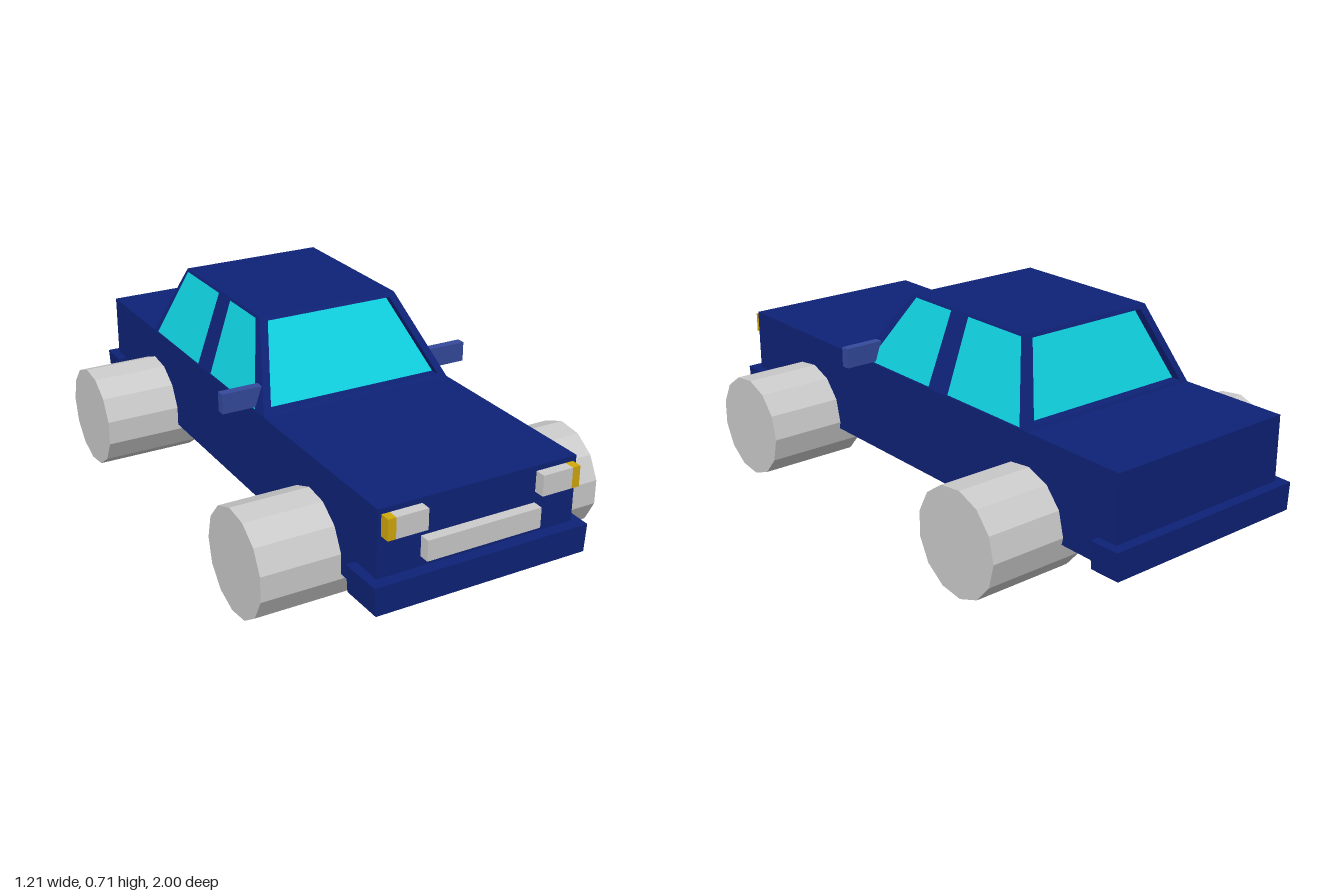
import * as THREE from 'three';

const paint = (color) => new THREE.MeshStandardMaterial({ color, flatShading: true });
const blue = paint(0x0e2277), cyan = paint(0x0fd0de), amber = paint(0xd2a80c);
const lightBlue = paint(0x344a9c), grey = paint(0xcccccc);

export function createModel() {
  const car = new THREE.Group();
  car.name = 'car';

  const add = (name, geometry, material) => {
    const mesh = new THREE.Mesh(geometry, material);
    mesh.name = name;
    car.add(mesh);
    return mesh;
  };

  // Box given by its limits on each axis
  const box = (name, [x0, x1], [y0, y1], [z0, z1], material) => {
    const g = new THREE.BoxGeometry(x1 - x0, y1 - y0, z1 - z0);
    g.translate((x0 + x1) / 2, (y0 + y1) / 2, (z0 + z1) / 2);
    return add(name, g, material);
  };

  // Flat quads, corners counter-clockwise; flip reverses them for mirrored parts
  const quads = (name, list, material, flip = false) => {
    const pos = [];
    for (const q of list) {
      const [a, b, c, d] = flip ? [...q].reverse() : q;
      pos.push(...a, ...b, ...c, ...a, ...c, ...d);
    }
    const g = new THREE.BufferGeometry();
    g.setAttribute('position', new THREE.Float32BufferAttribute(pos, 3));
    g.computeVertexNormals();
    return add(name, g, material);
  };

  // Lower body
  box('body', [-0.342, 0.342], [0.15, 0.455], [-0.965, 0.96], blue);

  // Bumpers, slightly narrower at the bottom and the outer end
  for (const [name, z0, z1] of [['frontBumper', 0.85, 1], ['rearBumper', -1, -0.895]]) {
    const p = box(name, [-0.375, 0.375], [0.143, 0.235], [z0, z1], blue).geometry.attributes.position;
    for (let i = 0; i < p.count; i++) {
      const cut = (p.getY(i) < 0.2 ? 0.006 : 0) + (Math.abs(p.getZ(i)) > 0.99 ? 0.003 : 0);
      p.setX(i, p.getX(i) - Math.sign(p.getX(i)) * cut);
    }
  }

  // Cabin: tapered, with recessed front and rear glass
  const y0 = 0.455, y1 = 0.708, w0 = 0.342, w1 = 0.252;
  const front0 = 0.285, front1 = 0.088, back0 = -0.585, back1 = -0.468;
  quads('roof', [[[-w1, y1, front1], [w1, y1, front1], [w1, y1, back1], [-w1, y1, back1]]], blue);

  const screen = (name, zLow, zHigh, flip) => {
    const at = (x, y, inset = 0) =>
      [x, y, zLow + (zHigh - zLow) * (y - y0) / (y1 - y0) - Math.sign(zLow) * inset];
    const ring = (xl, xh, yl, yh, inset) =>
      [at(-xl, yl, inset), at(xl, yl, inset), at(xh, yh, inset), at(-xh, yh, inset)];
    const outer = ring(w0, w1, y0, y1, 0);
    const inner = ring(0.312, 0.228, 0.465, 0.695, 0);
    const deep = ring(0.312, 0.228, 0.465, 0.695, 0.034);
    const frame = [];
    for (let i = 0; i < 4; i++) {
      const j = (i + 1) % 4;
      frame.push([outer[i], outer[j], inner[j], inner[i]], [inner[i], inner[j], deep[j], deep[i]]);
    }
    quads(name + 'Frame', frame, blue, flip);
    quads(name, [deep], cyan, flip);
  };
  screen('windshield', front0, front1, false);
  screen('rearWindow', back0, back1, true);

  // Parts that occur on both sides
  for (const s of [1, -1]) {
    const side = s > 0 ? 'left' : 'right';
    const flip = s < 0;
    const span = (a, b) => (s > 0 ? [a, b] : [-b, -a]);
    const onSide = (z, y, out = 0) => [s * (w0 + (w1 - w0) * (y - y0) / (y1 - y0) + out), y, z];

    // Cabin wall and its two windows
    quads(side + 'CabinWall', [
      [onSide(front0, y0), onSide(back0, y0), onSide(back1, y1), onSide(front1, y1)],
    ], blue, flip);
    const lo = 0.46, hi = 0.7;
    const pane = (a, b, c, d) =>
      [onSide(a, lo, 0.002), onSide(b, lo, 0.002), onSide(c, hi, 0.002), onSide(d, hi, 0.002)];
    quads(side + 'FrontSideWindow', [pane(0.225, -0.105, -0.117, 0.068)], cyan, flip);
    quads(side + 'RearSideWindow', [pane(-0.203, -0.55, -0.455, -0.203)], cyan, flip);

    // Mirror, headlight and turn signal
    box(side + 'Mirror', span(0.3, 0.452), [0.465, 0.532], [0.19, 0.22], lightBlue);
    box(side + 'Headlight', span(0.197, 0.303), [0.37, 0.438], [0.95, 0.995], grey);
    box(side + 'TurnSignal', span(0.303, 0.33), [0.37, 0.438], [0.95, 0.995], amber);

    // Wheels
    for (const [end, z] of [['Front', 0.597], ['Rear', -0.573]]) {
      const g = new THREE.CylinderGeometry(0.175, 0.175, 0.35, 13);
      g.rotateY(Math.PI).rotateZ(Math.PI / 2);
      add(side + end + 'Wheel', g, grey).position.set(s * 0.43, 0.174, z);
    }
  }

  // Grille
  box('grille', [-0.197, 0.197], [0.268, 0.335], [0.95, 0.995], grey);

  return car;
}
